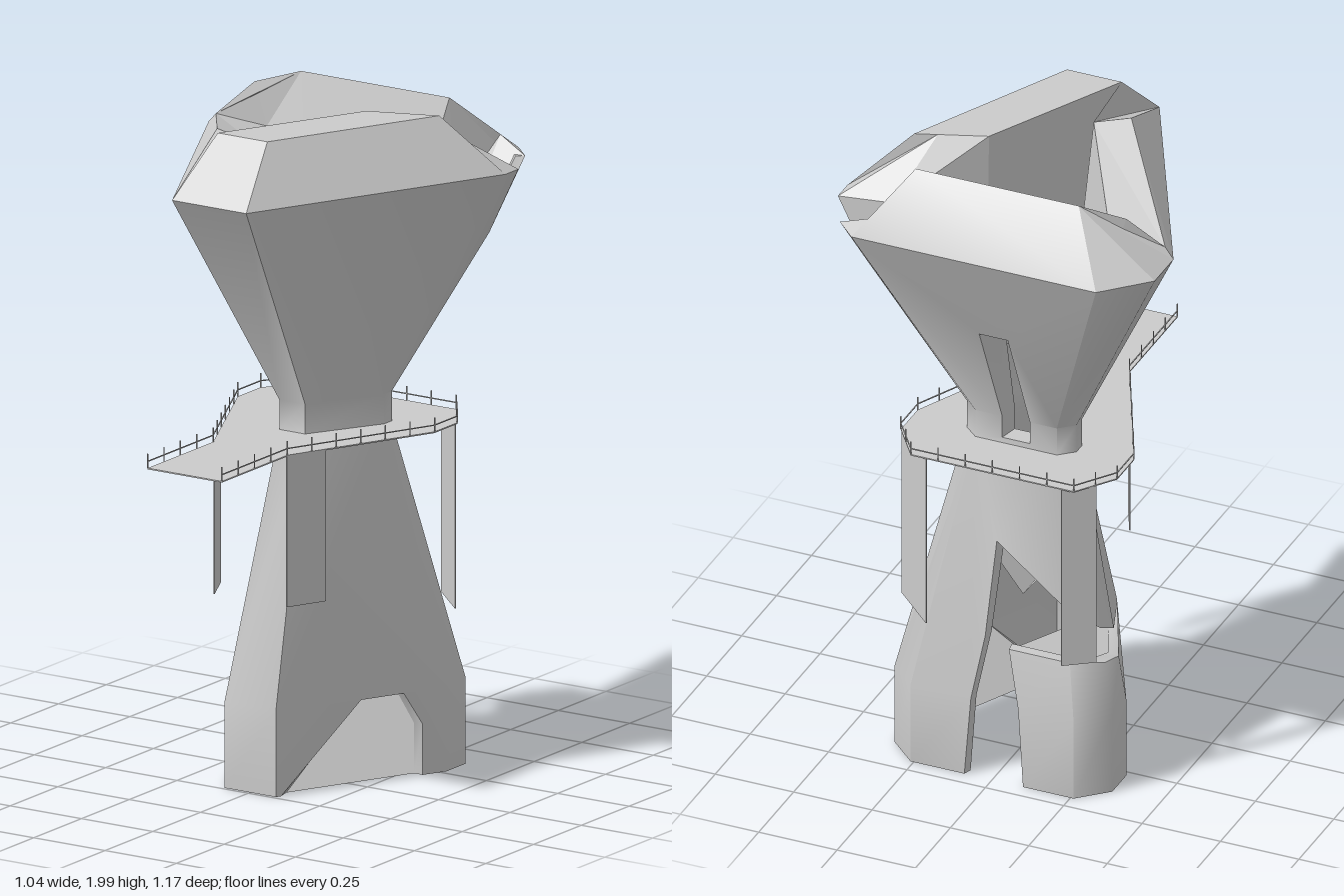
import * as THREE from 'three';
import { mergeGeometries, toCreasedNormals } from 'three/addons/utils/BufferGeometryUtils.js';

const mat = new THREE.MeshStandardMaterial({ color: 0xcccccc, side: THREE.DoubleSide });
const V = (x, y, z) => new THREE.Vector3(x, y, z);

// Chamfered triangular cross-section: front half width f, front z, side x, two side z, back x, back z
function ring(y, f, fz, sx, s1, s2, bx, bz) {
  return [V(-f, y, fz), V(f, y, fz), V(sx, y, s1), V(sx, y, s2),
    V(bx, y, bz), V(-bx, y, bz), V(-sx, y, s2), V(-sx, y, s1)];
}
const shrink = (pts, s, cz) => pts.map(p => V(p.x * s, p.y, cz + (p.z - cz) * s));

// Wall piece: an outline in (u, v) is extruded, then fitted between an outer and an inner quad
function wall(outer, inner, outline) {
  const g = new THREE.ExtrudeGeometry(new THREE.Shape(outline.map(p => new THREE.Vector2(...p))),
    { depth: 1, bevelEnabled: false });
  const pos = g.attributes.position;
  const at = (q, u, v) => q[0].clone().lerp(q[1], u).lerp(q[3].clone().lerp(q[2], u), v);
  for (let i = 0; i < pos.count; i++) {
    const u = pos.getX(i), v = pos.getY(i);
    const p = at(inner, u, v).lerp(at(outer, u, v), pos.getZ(i));
    pos.setXYZ(i, p.x, p.y, p.z);
  }
  g.deleteAttribute('uv');
  return g;
}

// Flat faces, each a fan of corner points
function faces(list) {
  const pts = [];
  for (const f of list) for (let i = 1; i < f.length - 1; i++) pts.push(f[0], f[i], f[i + 1]);
  const g = new THREE.BufferGeometry().setFromPoints(pts);
  g.computeVertexNormals();
  return g;
}

function mesh(name, geometry) {
  const m = new THREE.Mesh(geometry, mat);
  m.name = name;
  return m;
}

// Box running from a to b
function beam(a, b, w, h) {
  const d = b.clone().sub(a);
  const g = new THREE.BoxGeometry(w, h, d.length());
  const m = new THREE.Matrix4().lookAt(b, a, Math.abs(d.y) > 0.9 * d.length() ? V(1, 0, 0) : V(0, 1, 0));
  return g.applyMatrix4(m.setPosition(a.clone().add(b).multiplyScalar(0.5)));
}

const full = [[0, 0], [1, 0], [1, 1], [0, 1]];
const slab = (a, b, c, d) => [[0, a], [1, b], [1, d], [0, c]];

export function createModel() {
  const model = new THREE.Group();

  // Cross-sections from the ground up
  const base = [0.347, -0.27, -0.37, 0.26, -0.452];
  const neck = [0.175, -0.2, -0.24, 0.13, -0.28];
  const innerNeck = [0.03, 0, 0.13, -0.2, -0.21, 0.09, -0.22];
  const outer = [ring(0.01, 0.09, 0.24, ...base), ring(0.27, 0.09, 0.24, ...base),
    ring(1.05, 0.045, 0.02, ...neck), ring(1.14, 0.045, 0.02, ...neck),
    ring(1.83, 0.13, 0.455, 0.52, -0.32, -0.455, 0.39, -0.585)];
  const inner = [shrink(outer[0], 0.9, -0.2), shrink(outer[1], 0.9, -0.2), ring(1.05, ...innerNeck),
    ring(1.14, ...innerNeck), shrink(outer[4], 0.95, -0.2)];
  const quad = (rings, level, k) => {
    const n = (k + 1) % 8;
    return [rings[level][k], rings[level][n], rings[level + 1][n], rings[level + 1][k]];
  };

  // Outlines of the pierced panels, keyed "level,panel"; the others are full
  const arch = [[0.03, 0], [0.5, 0.98], [0.75, 0.98], [0.86, 0.59], [0.86, 0]];
  const cut = {
    '0,1': [[[0, 0], ...arch, [1, 0], [1, 1], [0, 1]]],
    '0,4': [[[0, 0], [0.33, 0], [0.37, 1], [0, 1]], [[0.69, 0], [1, 0], [1, 1], [0.66, 1]]],
    '1,4': [[[0, 0], [0.37, 0], [0.41, 0.25], [0.41, 0.62], [1, 0.42], [1, 1], [0, 1]],
      [[0.66, 0], [1, 0], [1, 0.22], [0.58, 0.22]]],
    '1,5': [slab(0.42, 0.33, 1, 1), slab(0, 0, 0.22, 0.2)],
    '1,6': [slab(0.33, 0.28, 1, 1), slab(0, 0, 0.2, 0.17)],
    '1,7': [[[0, 0.28], [0.97, 0], [1, 0], [1, 1], [0, 1]], [[0, 0], [0.95, 0], [0, 0.17]]],
    '2,4': [[[0, 0], [1, 0], [1, 1], [0.67, 1], [0.67, 0.2], [0.33, 0.2], [0.33, 1], [0, 1]]],
    '3,2': [[[0, 0], [1, 0], [1, 0.7], [0.5, 1], [0, 1]]],
    '3,3': [[[0, 0], [1, 0], [1, 1], [0.5, 1], [0, 0.7]]],
    '3,4': [[[0, 0], [0.33, 0], [0.415, 0.53], [0.585, 0.53], [0.67, 0], [1, 0], [1, 1], [0, 1]]],
  };

  // Corners of the crown
  const top = outer[4], n = inner[3];
  const r1 = V(0.087, 2, 0.28), r2 = V(0.345, 2, -0.235), r3 = V(0.14, 2, -0.16), r4 = V(-0.087, 2, 0.28);
  const e2 = V(0.35, 1.84, -0.375), e3 = V(0.28, 2, -0.211);
  const l1 = V(-0.49, 1.86, -0.312), l2 = V(-0.176, 1.97, 0.15), l3 = V(-0.35, 1.83, -0.37), l4 = V(-0.065, 1.94, 0.13);
  const q0 = V(0.26, 2, -0.415), q1 = V(-0.26, 2, -0.415), q2 = V(-0.39, 1.96, -0.365);
  const n1 = V(0.52, 1.83, -0.388), n2 = V(0.455, 1.83, -0.52), m = V(0.355, 1.875, -0.54);
  const vo = V(0.416, 1.623, -0.39), vi = V(0.34, 1.64, -0.375), vj = V(0.27, 1.69, -0.43);

  // Shell walls
  const parts = [];
  for (let level = 0; level < 4; level++) {
    for (let k = 0; k < 8; k++) {
      const qi = quad(inner, level, k);
      if (level === 3 && k === 4) { qi[2] = q1; qi[3] = q0; } // back wall thickens up to its ridge
      for (const outline of cut[level + ',' + k] || [full]) parts.push(wall(quad(outer, level, k), qi, outline));
    }
  }
  model.add(mesh('towerShell', toCreasedNormals(mergeGeometries(parts), 0.85)));

  // Recessed panel closing the side arch
  const deeper = [0, 1].map(i => shrink(outer[i], 0.86, -0.2));
  model.add(mesh('archRecess', wall(quad(inner, 0, 1), quad(deeper, 0, 1), arch)));

  // Crown roof slopes and the funnel inside
  model.add(mesh('crownRoof', faces([
    [r1, r2, r3, r4], [top[1], top[2], r2, r1], [top[0], top[1], r1, r4], [e3, r2, top[2], n1, e2],
    [top[7], top[0], l2, l1], [top[0], r4, l4, l2], [l1, l2, l4, l3],
    [q1, q2, l1, top[7], top[6], top[5]], [top[4], n2, m],
  ])));
  model.add(mesh('crownFunnel', faces([
    [r4, r3, n[2], n[1]], [r4, n[1], n[0]], [r3, e3, e2, n[2]], [e2, n1, vo, vi],
    [m, n2, vi, vj], [n2, vo, vi], [vi, e2, n[2], n[3]], [vi, vj, n[4], n[3]], [vj, m, q0, n[4]],
    [l3, l4, n[0], n[7]], [l4, r4, n[0]], [l3, l1, q2], [l3, q2, q1, n[5], n[6], n[7]],
  ])));

  // Hood over the back slot
  model.add(mesh('slotHood', faces([
    [V(-0.045, 1.62, -0.35), V(-0.09, 1.35, -0.22), V(0.09, 1.35, -0.22), V(0.045, 1.62, -0.35)]])));

  // Sloping cap on the cut-off back leg, and the trough inside the base
  const mix = (k, v) => outer[1][k].clone().lerp(outer[2][k], v);
  model.add(mesh('legCap', faces([[V(-0.04, 0.44, -0.41), mix(5, 0.215), mix(6, 0.195), mix(7, 0.165), V(-0.1, 0.28, 0.15)]])));
  model.add(mesh('innerTrough', faces([-1, 1].map(s =>
    [V(0, 0.52, 0), V(s * 0.03, 0.58, 0), V(s * 0.11, 0.66, -0.15), V(s * 0.11, 0.66, -0.23), V(0, 0.52, -0.23)]))));

  // Deck with front walkway
  const half = [[0.13, 0.583], [0.13, 0.24], [0.345, -0.21], [0.345, -0.33], [0.26, -0.45]];
  const edge = [...half, ...half.map(([x, z]) => [-x, z]).reverse()];
  const shape = new THREE.Shape(edge.map(([x, z]) => new THREE.Vector2(x, -z)));
  shape.holes.push(new THREE.Path(inner[2].map(p => new THREE.Vector2(p.x, -p.z))));
  const deck = new THREE.ExtrudeGeometry(shape, { depth: 0.004, bevelEnabled: false });
  model.add(mesh('deck', deck.rotateX(-Math.PI / 2).translate(0, 1.046, 0)));

  // Railing around the deck, open at the walkway end
  const bars = [];
  for (let i = 0; i < edge.length - 1; i++) {
    const a = V(edge[i][0], 0, edge[i][1]), b = V(edge[i + 1][0], 0, edge[i + 1][1]);
    bars.push(beam(a.clone().setY(1.07), b.clone().setY(1.07), 0.003, 0.003));
    const count = Math.max(1, Math.round(a.distanceTo(b) / 0.09));
    for (let j = 0; j <= count; j++) {
      const p = a.clone().lerp(b, j / count);
      bars.push(beam(p.clone().setY(1.05), p.clone().setY(1.093), 0.003, 0.003));
    }
  }
  model.add(mesh('railing', mergeGeometries(bars)));

  // Flat plates hanging below the deck edge: two end points and the bottom height
  const plates = [[0.127, 0.24, 0.185, 0.12, 0.59], [-0.127, 0.24, -0.185, 0.12, 0.59],
    [0.345, -0.32, 0.21, -0.45, 0.49], [-0.305, -0.39, -0.22, -0.45, 0.45]];
  for (const [x1, z1, x2, z2, low] of plates) {
    const y = (low + 1.048) / 2;
    model.add(mesh('hangingPlate', beam(V(x1, y, z1), V(x2, y, z2), 0.004, 1.048 - low)));
  }
  return model;
}
